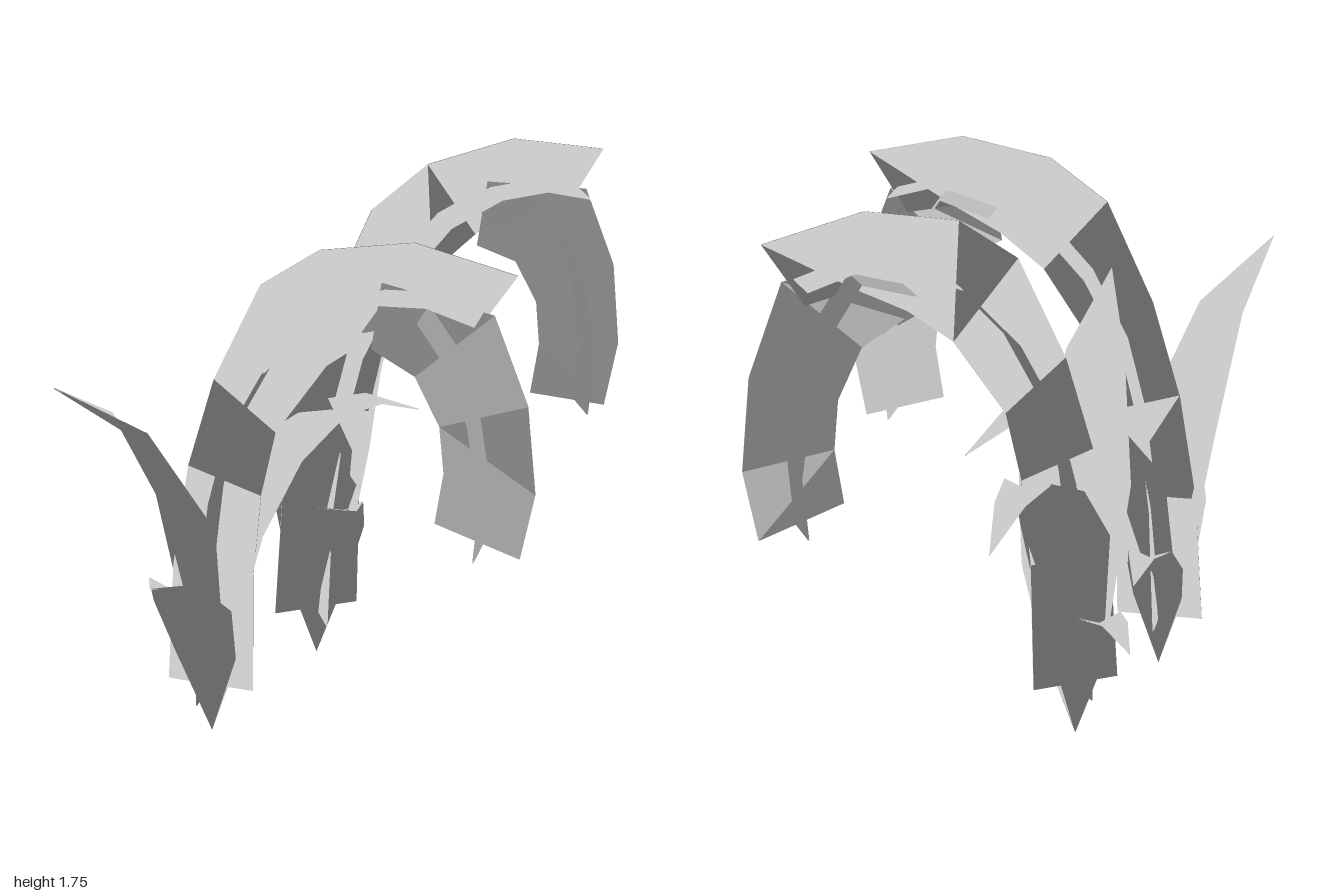
import * as THREE from 'three';

const material = new THREE.MeshStandardMaterial({ color: 0xcccccc, side: THREE.DoubleSide });
const UP = [0, 1, 0], FORWARD = [0.97, -0.24, 0];
const THICKNESS = 0.003;

// Skin a thin sheet over rows of points: a front and a back layer, each facing
// outwards, sharing one soft foliage normal
function sheet(name, rows, normal) {
  const n = rows[0].length, points = rows.flat(), front = [];
  for (let i = 0; i < rows.length - 1; i++) {
    for (let j = 0; j < n - 1; j++) {
      const a = i * n + j, b = a + n;
      front.push(a, a + 1, b, a + 1, b + 1, b);
    }
  }
  const geometry = new THREE.BufferGeometry();
  geometry.setAttribute('position', new THREE.Float32BufferAttribute(points.flat(), 3));
  geometry.setIndex(front);
  geometry.computeVertexNormals();
  const facing = geometry.attributes.normal;
  const layer = (offset) => points.flatMap(([x, y, z], i) =>
    [x + facing.getX(i) * offset, y + facing.getY(i) * offset, z + facing.getZ(i) * offset]);
  const positions = [...layer(THICKNESS / 2), ...layer(-THICKNESS / 2)];
  const back = front.map((v) => v + points.length).reverse();
  geometry.setAttribute('position', new THREE.Float32BufferAttribute(positions, 3));
  geometry.setAttribute('normal', new THREE.Float32BufferAttribute([...points, ...points].flatMap(() => normal), 3));
  geometry.setIndex([...front, ...back]);
  const mesh = new THREE.Mesh(geometry, material);
  mesh.name = name;
  return mesh;
}

// Strip across the bending plane: path of [x, y], constant half width in z
const crossStrip = (name, path, half, normal, z = 0) =>
  sheet(name, path.map(([x, y]) => [[x, y, z - half], [x, y, z + half]]), normal);

// Strip lying in the bending plane: rows of [outerX, outerY, innerX, innerY]
const planeStrip = (name, pairs, normal, z = 0) =>
  sheet(name, pairs.map(([ox, oy, ix, iy]) => [[ox, oy, z], [ix, iy, z]]), normal);

// Grooved leaf: profile of [reach, height, half width], turned to an angle
function leaf(name, degrees, profile) {
  const mesh = sheet(name, profile.map(([r, y, w]) => [
    [r - 0.1 * w, y + 0.35 * w, -w], [r, y, 0], [r - 0.1 * w, y + 0.35 * w, w],
  ]), UP);
  mesh.rotation.y = -THREE.MathUtils.degToRad(degrees);
  return mesh;
}

function createPlant(name) {
  const plant = new THREE.Group();
  plant.name = name;

  // Arching stalk made of two crossed strips
  plant.add(crossStrip('stalkAcross', [
    [0, 0.18], [0.02, 0.6], [0.06, 0.9], [0.12, 1.13], [0.235, 1.35],
    [0.405, 1.535], [0.57, 1.61], [0.72, 1.62], [0.86, 1.58],
  ], 0.134, UP));
  plant.add(planeStrip('stalkAlong', [
    [-0.14, 0.18, 0.14, 0.18], [-0.11, 0.6, 0.15, 0.6], [-0.05, 0.95, 0.18, 0.88],
    [0.04, 1.25, 0.23, 1.1], [0.19, 1.57, 0.39, 1.34], [0.37, 1.7, 0.53, 1.45],
    [0.65, 1.755, 0.68, 1.53], [0.95, 1.69, 0.83, 1.5],
  ], UP));

  // Drooping head, crossed the same way and set slightly to one side
  plant.add(crossStrip('headAcross', [
    [0.54, 1.53], [0.7, 1.58], [0.79, 1.45], [0.85, 1.28], [0.89, 1.03], [0.875, 0.84],
  ], 0.137, FORWARD, 0.015));
  plant.add(planeStrip('headAlong', [
    [0.56, 1.63, 0.53, 1.42], [0.89, 1.57, 0.66, 1.35], [0.995, 1.3, 0.735, 1.2],
    [1.025, 1.02, 0.75, 1.05], [0.985, 0.8, 0.725, 0.88],
  ], FORWARD, 0.02));

  // Leaves springing from a point at the root
  plant.add(leaf('tallLeaf', 124, [
    [0, 0.01, 0], [0.03, 0.35, 0.1], [0.09, 0.77, 0.15], [0.27, 1.15, 0.09], [0.51, 1.37, 0],
  ]));
  plant.add(leaf('middleLeaf', 90, [
    [0, 0.01, 0], [0.05, 0.28, 0.1], [0.15, 0.5, 0.125], [0.3, 0.69, 0.075], [0.475, 0.79, 0],
  ]));
  plant.add(leaf('lowLeaf', -88, [
    [0, 0.01, 0], [0.05, 0.24, 0.08], [0.1, 0.36, 0.09], [0.2, 0.47, 0.07],
    [0.33, 0.51, 0.04], [0.45, 0.48, 0],
  ]));
  plant.add(leaf('longLeaf', -50, [
    [0, 0.01, 0], [0.04, 0.35, 0.1], [0.13, 0.69, 0.14], [0.29, 0.9, 0.11],
    [0.47, 1, 0.07], [0.62, 1, 0.045], [0.79, 0.93, 0],
  ]));
  return plant;
}

export function createModel() {
  const model = new THREE.Group();
  model.name = 'droopingPlants';
  // Two identical plants, turned apart
  for (const [name, x, z, degrees] of [['rightPlant', -0.49, -0.13, 55], ['leftPlant', 0.06, -0.3, 22]]) {
    const plant = createPlant(name);
    plant.position.set(x, 0, z);
    plant.rotation.y = -THREE.MathUtils.degToRad(degrees);
    model.add(plant);
  }
  return model;
}
